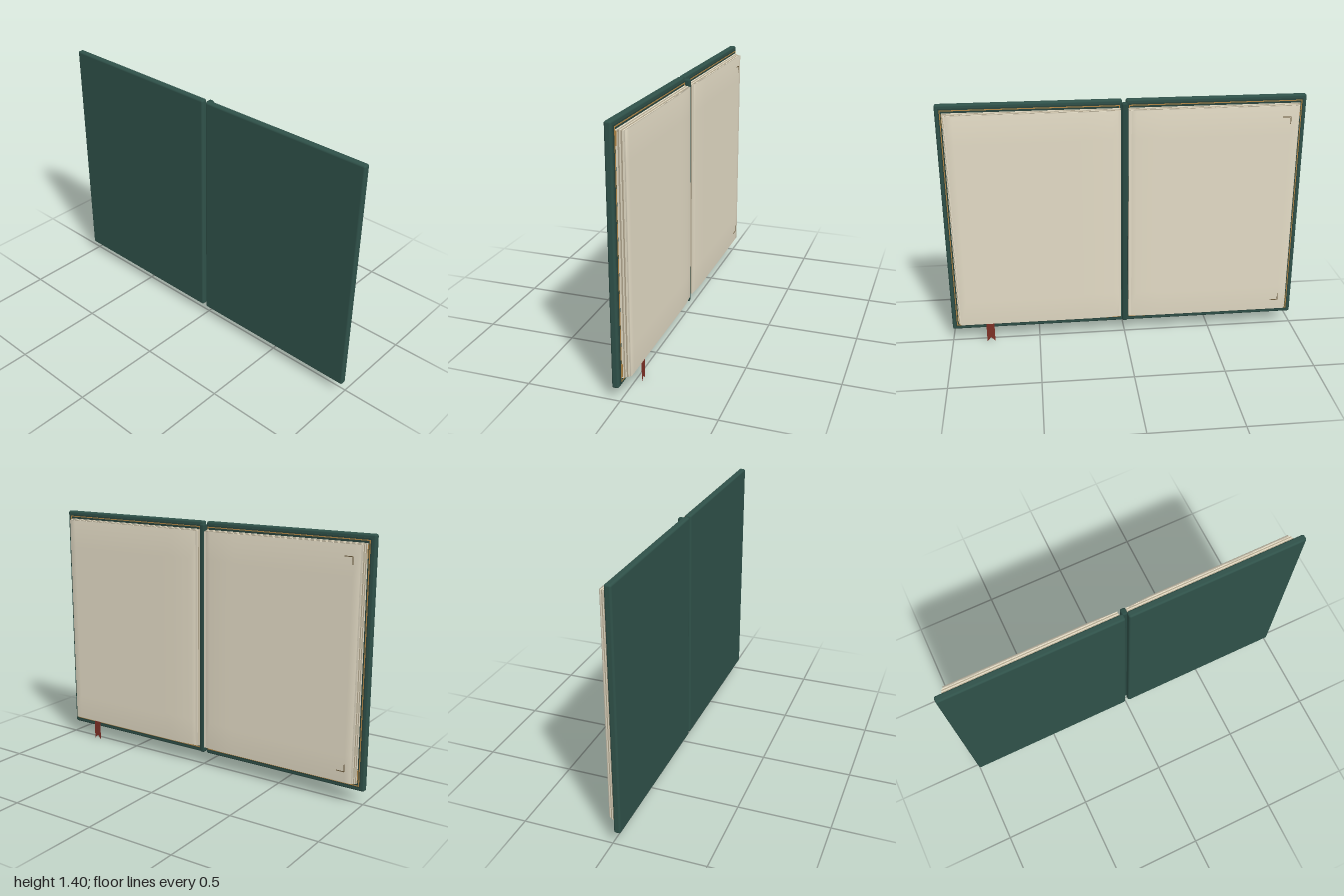
import * as THREE from 'three';
import { mergeVertices } from 'three/addons/utils/BufferGeometryUtils.js';
import { RoundedBoxGeometry } from 'three/addons/geometries/RoundedBoxGeometry.js';

const mat = (color, side = THREE.FrontSide) => new THREE.MeshStandardMaterial({ color, side });
const MID = 0.735; // height of the book's middle

export function createModel() {
  const book = new THREE.Group();
  book.name = 'openBook';
  const cloth = mat(0x2f5149), spineCloth = mat(0x2a4a43), liner = mat(0x29443d);
  const paper = mat(0xe4dcc6), paperShade = mat(0xb3a88f);
  const gold = mat(0xb08545), ink = mat(0x6b5a3c);
  const ribbonMat = mat(0x7d2f25, THREE.DoubleSide);

  const add = (parent, name, geometry, material, x = 0, y = 0, z = 0) => {
    const mesh = new THREE.Mesh(geometry, material);
    mesh.name = name;
    mesh.position.set(x, y, z);
    parent.add(mesh);
    return mesh;
  };
  const box = (parent, name, material, x0, x1, y0, y1, z0, z1) =>
    add(parent, name, new THREE.BoxGeometry(Math.abs(x1 - x0), y1 - y0, z1 - z0), material,
      (x0 + x1) / 2, (y0 + y1) / 2, (z0 + z1) / 2);

  // Thin rectangular frame, drawn as a shape with a hole
  const frame = (x0, x1, y0, y1, t, depth) => {
    const rect = (path, i) => path.moveTo(x0 + i, y0 + i).lineTo(x1 - i, y0 + i)
      .lineTo(x1 - i, y1 - i).lineTo(x0 + i, y1 - i).closePath();
    const shape = new THREE.Shape();
    rect(shape, 0);
    const hole = new THREE.Path();
    rect(hole, t);
    shape.holes.push(hole);
    return new THREE.ExtrudeGeometry(shape, { depth, bevelEnabled: false });
  };

  // Top sheet: soft-shaded slab that dips toward the gutter
  const topSheet = (s) => {
    const w = 0.92, g = new THREE.BoxGeometry(w, 1.24, 0.012, 24, 8, 1);
    g.deleteAttribute('normal');
    g.deleteAttribute('uv');
    const p = g.attributes.position;
    for (let i = 0; i < p.count; i++) {
      const fromGutter = w / 2 + s * p.getX(i);
      const t = Math.max(0, 1 - fromGutter / 0.18);
      p.setZ(i, p.getZ(i) + 0.009 * t * t);
    }
    const smooth = mergeVertices(g);
    smooth.computeVertexNormals();
    return smooth;
  };

  for (const s of [-1, 1]) {
    const half = new THREE.Group();
    half.name = s > 0 ? 'leftHalf' : 'rightHalf';
    book.add(half);

    // Cover board and its inner lining
    add(half, 'coverBoard', new RoundedBoxGeometry(0.99, 1.34, 0.037, 3, 0.011), cloth, s * 0.505, MID, 0.0245);
    box(half, 'coverLining', liner, s * 0.02, s * 0.98, 0.085, 1.385, 0.002, 0.01);
    const [a, b] = s > 0 ? [0.024, 0.974] : [-0.974, -0.024];
    add(half, 'goldBorder', frame(a, b, 0.093, 1.377, 0.005, 0.003), gold, 0, 0, -0.0005);

    // Gold corner pieces on the lining
    for (const v of [-1, 1]) {
      const y = MID + v * 0.585;
      box(half, 'cornerPiece', gold, s * 0.956, s * 0.965, y - 0.035, y + 0.035, -0.003, 0.003);
    }

    // Stepped page block
    for (let i = 0; i < 5; i++) {
      const z = -0.0065 * i, h = 0.626 - 0.0015 * i;
      box(half, 'pageLayer', i % 2 ? paperShade : paper,
        s * 0.022, s * (0.962 - 0.0025 * i), MID - h, MID + h, z - 0.0065, z + (i ? 0 : 0.003));
    }
    add(half, 'topPage', topSheet(s), paper, s * 0.485, MID, -0.0345);
  }

  // Small corner marks printed on the right page
  for (const v of [-1, 1]) {
    const y = MID + v * 0.56;
    box(book, 'pageMark', ink, -0.905, -0.86, y - 0.002, y + 0.002, -0.0425, -0.04);
    box(book, 'pageMark', ink, -0.907, -0.903, y - 0.02 - v * 0.02, y + 0.02 - v * 0.02, -0.0425, -0.04);
  }

  // Spine, recessed between the boards
  add(book, 'spine', new RoundedBoxGeometry(0.03, 1.316, 0.038, 3, 0.01), spineCloth, 0, MID, -0.006);

  // Ribbon with a notched tail
  const r = new THREE.Shape();
  r.moveTo(0.758, 0.24).lineTo(0.758, 0).lineTo(0.781, 0.025).lineTo(0.804, 0).lineTo(0.804, 0.24).closePath();
  add(book, 'ribbon', new THREE.ShapeGeometry(r), ribbonMat, 0, 0, -0.037);

  return book;
}
